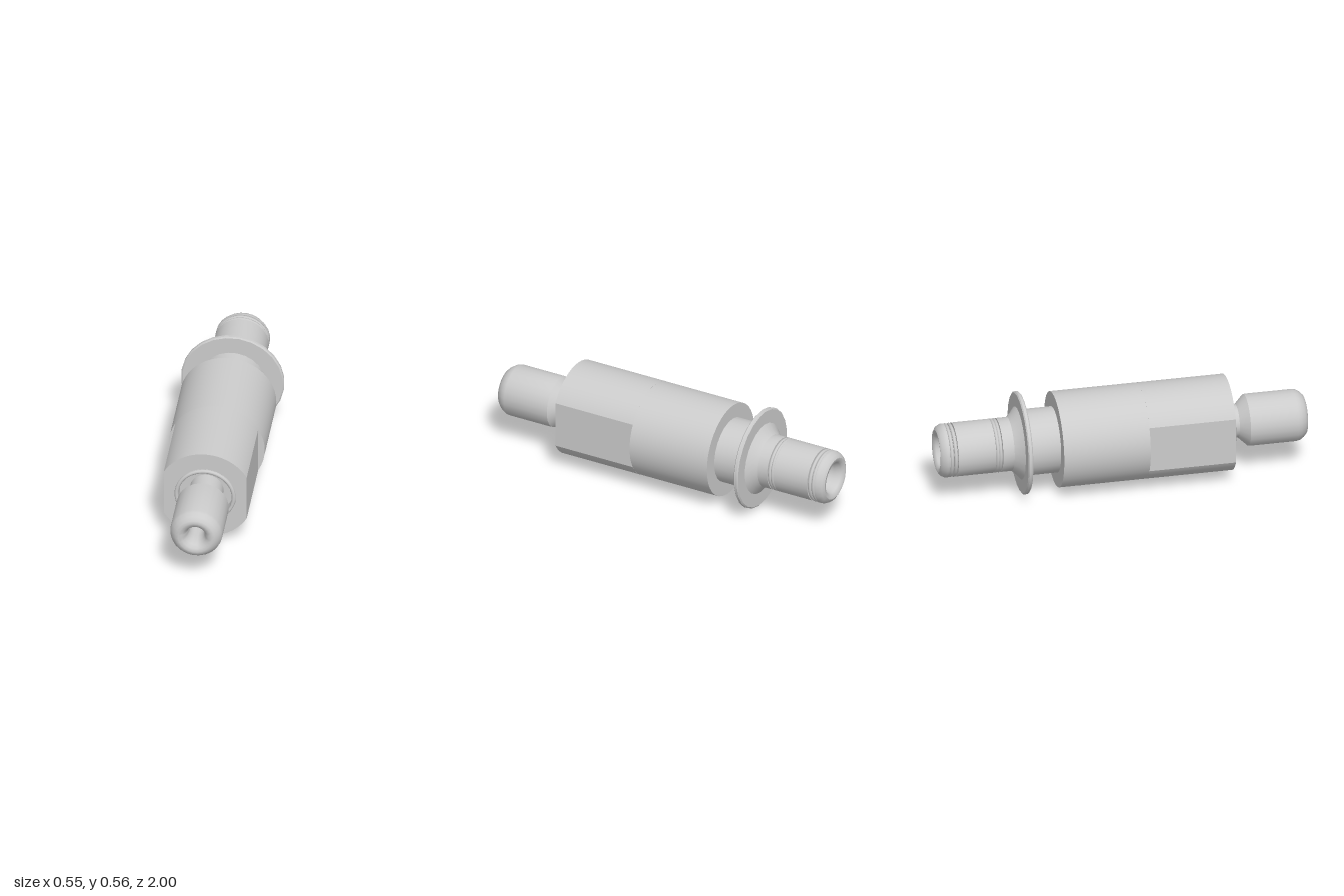
import * as THREE from 'three';
import { toCreasedNormals } from 'three/addons/utils/BufferGeometryUtils.js';

const AXIS_Y = 0.284, SIDES = 24, PHASE = Math.PI / SIDES;

export function createModel() {
  const group = new THREE.Group();
  const material = new THREE.MeshStandardMaterial({ color: 0xcccccc });

  const add = (name, geometry, x = 0, y = AXIS_Y, z = 0) => {
    const mesh = new THREE.Mesh(geometry, material);
    mesh.name = name;
    mesh.position.set(x, y, z);
    group.add(mesh);
    return mesh;
  };

  // Turned part from [radius, z] pairs, lying along z
  const turned = (name, profile) => {
    const points = profile.map(([r, z]) => new THREE.Vector2(r, z));
    const geometry = new THREE.LatheGeometry(points, SIDES, PHASE).rotateX(Math.PI / 2);
    return add(name, toCreasedNormals(geometry, 0.65));
  };

  // Rear spigot, shank and through bore with rounded mouths
  turned('rearSpigot', [
    [0.042, -0.8], [0.078, -0.8], [0.078, -0.95], [0.086, -0.985], [0.1, -0.998], [0.115, -1],
    [0.132, -0.99], [0.145, -0.965], [0.145, -0.952], [0.13, -0.952], [0.13, -0.908],
    [0.145, -0.908], [0.145, -0.704], [0.13, -0.704], [0.13, -0.666], [0.145, -0.666],
    [0.145, -0.605], [0.165, -0.582], [0.2, -0.553], [0.2, -0.54], [0.178, -0.54],
    [0.178, -0.35], [0.15, -0.35], [0.15, 0.52], [0.042, 0.52], [0.042, -0.8],
  ]);

  // Thin disc flange
  turned('flange', [
    [0.15, -0.556], [0.27, -0.556], [0.277, -0.55], [0.277, -0.536], [0.27, -0.53],
    [0.15, -0.53],
  ]);

  // Sealing rings in the spigot grooves
  for (const z of [-0.677, -0.693, -0.92, -0.941]) {
    add('sealRing', new THREE.TorusGeometry(0.135, 0.01, 8, 48), 0, AXIS_Y, z);
  }

  // Main body: round at the rear, two side flats at the front
  const R = 0.257, flat = Math.acos(0.222 / R);
  const bodySection = (name, outline, z0, z1) => {
    outline.holes.push(new THREE.Path().absarc(0, 0, 0.145, 0, Math.PI * 2, true));
    const geometry = new THREE.ExtrudeGeometry(outline, {
      depth: z1 - z0, bevelEnabled: false, curveSegments: SIDES,
    });
    add(name, toCreasedNormals(geometry, 0.4), 0, AXIS_Y, z0);
  };
  bodySection('bodyRear',
    new THREE.Shape().absarc(0, 0, R, PHASE, PHASE + Math.PI * 2, false), -0.36, 0.11);
  bodySection('bodyFront',
    new THREE.Shape()
      .absarc(0, 0, R, flat, Math.PI - flat, false)
      .absarc(0, 0, R, Math.PI + flat, Math.PI * 2 - flat, false), 0.11, 0.58);

  // Snap ring on the front face
  add('snapRingSeat', new THREE.TorusGeometry(0.154, 0.009, 8, 48), 0, AXIS_Y, 0.581);
  const snapRing = add('snapRing',
    new THREE.TorusGeometry(0.153, 0.011, 8, 48, Math.PI * 5 / 3), 0, AXIS_Y, 0.586);
  snapRing.rotation.z = -0.28;

  // Front nose with a narrow neck and rounded tip
  turned('nose', [
    [0.042, 0.5], [0.09, 0.5], [0.09, 0.63], [0.1, 0.64], [0.139, 0.68], [0.14, 0.69],
    [0.14, 0.94], [0.136, 0.958], [0.122, 0.98], [0.105, 0.996], [0.09, 1],
    [0.072, 0.995], [0.057, 0.978], [0.047, 0.95], [0.042, 0.91], [0.042, 0.5],
  ]);

  // Detent ball under the body, in a low collar
  const ball = add('detentBall', new THREE.SphereGeometry(0.05, 20, 12), 0, 0.031, -0.23);
  ball.scale.set(1, 0.62, 1);
  const collar = add('detentCollar', new THREE.TorusGeometry(0.045, 0.01, 8, 24), 0, 0.033, -0.23);
  collar.rotation.x = Math.PI / 2;

  return group;
}
